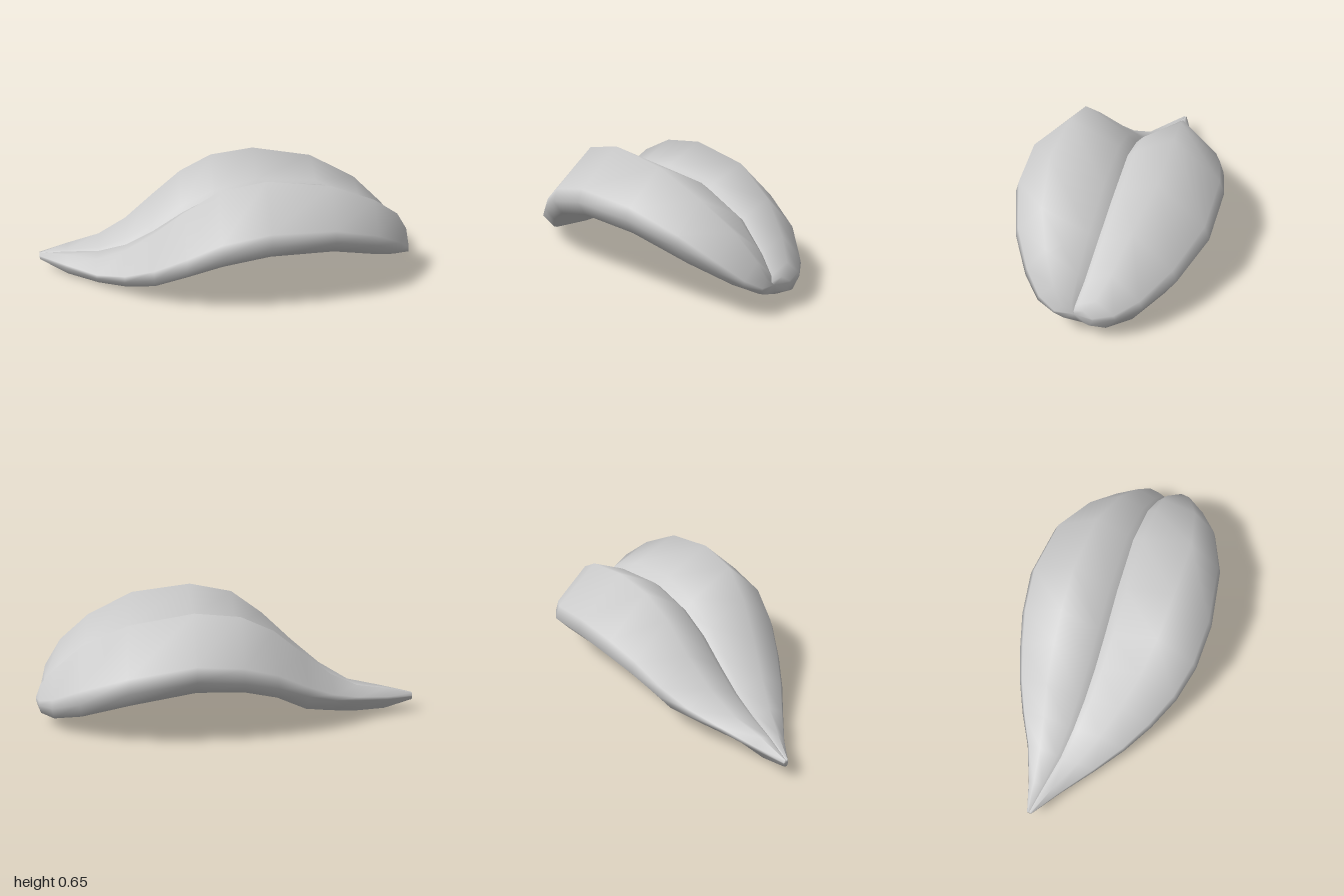
import * as THREE from 'three';

// Groove and underside per station: [x, groove z, groove y, underside y]
const SPINE = [
  [-1, -0.083, 0.1, 0.065], [-0.85, -0.055, 0.12, 0.018], [-0.68, -0.025, 0.13, 0.004],
  [-0.53, -0.01, 0.17, 0.04], [-0.38, 0, 0.245, 0.105], [-0.22, 0.005, 0.345, 0.2],
  [-0.05, 0, 0.425, 0.27], [0.18, -0.015, 0.478, 0.3], [0.5, -0.035, 0.455, 0.26],
  [0.74, -0.03, 0.36, 0.17], [0.89, -0.01, 0.24, 0.1], [0.97, 0.01, 0.165, 0.075],
  [1, 0.015, 0.14, 0.095],
];
// Lobes per station: [edge z, edge y, ridge z, ridge y, lower rim z, lower rim y]
const FRONT = [
  [-0.07, 0.085, -0.075, 0.105, -0.075, 0.068], [0.033, 0.07, -0.01, 0.125, 0, 0.015],
  [0.165, 0.075, 0.075, 0.14, 0.085, 0.001], [0.28, 0.115, 0.14, 0.22, 0.2, 0.04],
  [0.375, 0.18, 0.2, 0.34, 0.31, 0.105], [0.455, 0.27, 0.25, 0.485, 0.4, 0.205],
  [0.5, 0.36, 0.275, 0.605, 0.455, 0.29], [0.507, 0.41, 0.28, 0.65, 0.465, 0.34],
  [0.46, 0.395, 0.275, 0.61, 0.42, 0.325], [0.37, 0.315, 0.23, 0.5, 0.3, 0.225],
  [0.27, 0.22, 0.165, 0.38, 0.17, 0.14], [0.185, 0.16, 0.105, 0.255, 0.08, 0.1],
  [0.1, 0.13, 0.065, 0.17, 0.06, 0.1],
];
const BACK = [
  [-0.095, 0.085, -0.09, 0.105, -0.09, 0.068], [-0.145, 0.09, -0.11, 0.143, -0.09, 0.022],
  [-0.215, 0.115, -0.14, 0.175, -0.1, 0.015], [-0.3, 0.15, -0.17, 0.25, -0.2, 0.06],
  [-0.37, 0.2, -0.2, 0.37, -0.3, 0.11], [-0.425, 0.265, -0.215, 0.5, -0.37, 0.2],
  [-0.475, 0.31, -0.235, 0.58, -0.42, 0.25], [-0.513, 0.335, -0.25, 0.605, -0.45, 0.265],
  [-0.497, 0.28, -0.245, 0.55, -0.425, 0.2], [-0.395, 0.2, -0.19, 0.435, -0.34, 0.12],
  [-0.275, 0.14, -0.135, 0.3, -0.23, 0.073], [-0.175, 0.125, -0.085, 0.21, -0.13, 0.068],
  [-0.08, 0.125, -0.035, 0.16, -0.06, 0.09],
];
const mix = THREE.MathUtils.lerp;

// One lobe's half profile, from beside the groove over the ridge to the lower rim
function lobe([edgeZ, edgeY, ridgeZ, ridgeY, lowZ, lowY], seamZ, seamY) {
  return [
    [mix(seamZ, ridgeZ, 0.16), mix(seamY, ridgeY, 0.25)],
    [ridgeZ, ridgeY],
    [mix(ridgeZ, edgeZ, 0.9), mix(edgeY, ridgeY, 0.25)],
    [edgeZ, edgeY],
    [lowZ, lowY],
  ];
}

// Closed section: groove, front lobe, underside, back lobe, groove
function section([x, z, y, base], i) {
  const seam = [z, y];
  const under = [(FRONT[i][4] + BACK[i][4]) / 2, base];
  const loop = [seam, ...lobe(FRONT[i], z, y), under, ...lobe(BACK[i], z, y).reverse(), seam];
  // At the blunt end the two lobes stand slightly proud of the groove
  const notch = (pz) => (x === 1 ? 0.025 * Math.max(0, 1 - Math.abs(pz - z) / 0.085) : 0);
  return loop.map(([pz, py]) => new THREE.Vector3(x - notch(pz), py, pz));
}

function bodyGeometry() {
  const sections = SPINE.map(section);
  const points = sections.flat();
  const index = [];
  const row = sections[0].length, last = sections.length - 1;
  for (let i = 0; i < last; i++) {
    for (let j = 0; j < row - 1; j++) {
      const a = i * row + j, b = a + row;
      index.push(a, a + 1, b, a + 1, b + 1, b);
    }
  }
  // Close both ends with fans
  for (const i of [0, last]) {
    const ring = sections[i];
    const center = points.length;
    points.push(ring.reduce((sum, p) => sum.add(p), new THREE.Vector3()).divideScalar(row));
    for (let j = i * row; j < i * row + row - 1; j++) {
      index.push(center, ...(i === 0 ? [j + 1, j] : [j, j + 1]));
    }
  }
  const geometry = new THREE.BufferGeometry().setFromPoints(points);
  geometry.setIndex(index);
  geometry.computeVertexNormals();
  return geometry;
}

export function createModel() {
  const group = new THREE.Group();
  group.name = 'groovedPetal';
  const body = new THREE.Mesh(bodyGeometry(), new THREE.MeshStandardMaterial({ color: 0xcccccc }));
  body.name = 'twoLobedBody';
  group.add(body);
  return group;
}
